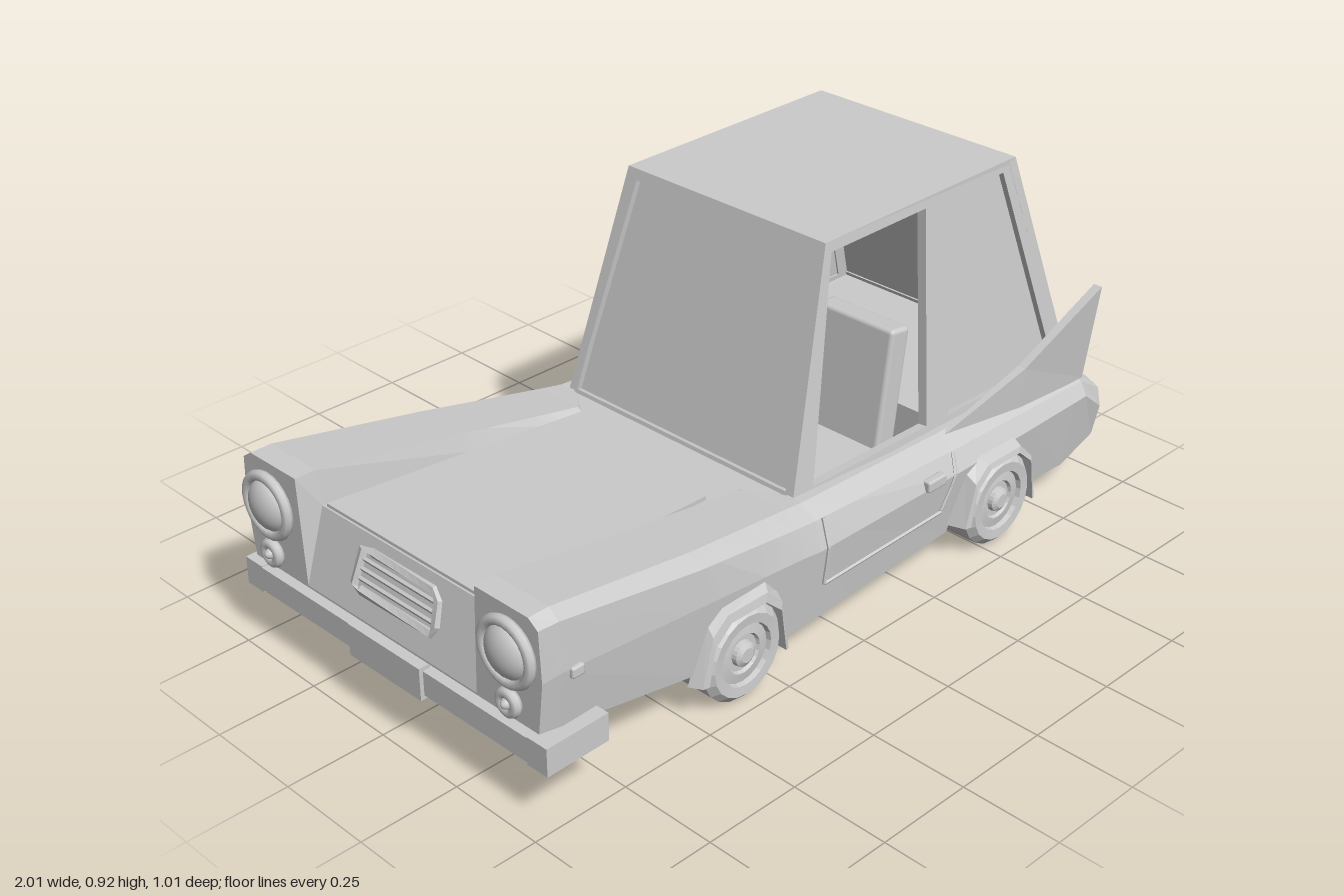
import * as THREE from 'three';
import { RoundedBoxGeometry } from 'three/addons/geometries/RoundedBoxGeometry.js';

const V = (x, y, z) => new THREE.Vector3(x, y, z);
const flat = new THREE.MeshStandardMaterial({ color: 0xcccccc, flatShading: true, side: THREE.DoubleSide });
const smooth = new THREE.MeshStandardMaterial({ color: 0xcccccc, side: THREE.DoubleSide });

// Body stations: x, sill z, crease y/z, shoulder y/z, top y/z, inner top z, deck y
const stations = [
  [-0.96, 0.455, 0.36, 0.489, 0.483, 0.483, 0.503, 0.455, 0.295, 0.235],
  [-0.905, 0.455, 0.36, 0.489, 0.48, 0.483, 0.503, 0.455, 0.293, 0.418],
  [-0.5, 0.45, 0.31, 0.474, 0.4, 0.468, 0.43, 0.435, 0.285, 0.387],
  [-0.16, 0.442, 0.27, 0.462, 0.34, 0.443, 0.37, 0.4, 0.27, 0.362],
  [-0.1, 0.44, 0.26, 0.46, 0.33, 0.438, 0.36, 0.395, 0.35, 0.358],
  [0.4, 0.43, 0.25, 0.455, 0.3, 0.43, 0.328, 0.38, 0.345, 0.325],
  [0.9, 0.43, 0.26, 0.457, 0.295, 0.437, 0.328, 0.38, 0.345, 0.328],
  [0.975, 0.425, 0.2, 0.45, 0.25, 0.44, 0.268, 0.4, 0.345, 0.268],
];
// Lower edge of the body, including both wheel openings
const sill = [[-0.96, 0.23], [-0.5, 0.125], [-0.465, 0.2], [-0.43, 0.24], [-0.29, 0.24], [-0.25, 0.19], [-0.235, 0.067], [-0.1, 0.067],
  [0.39, 0.077], [0.42, 0.17], [0.46, 0.232], [0.62, 0.232], [0.66, 0.17], [0.69, 0.08], [0.85, 0.07], [0.975, 0.112]];

function sample(table, x) {
  let i = 0;
  while (i < table.length - 2 && x > table[i + 1][0]) i++;
  const a = table[i], b = table[i + 1];
  const t = THREE.MathUtils.clamp((x - a[0]) / (b[0] - a[0]), 0, 1);
  return a.map((v, k) => v + (b[k] - v) * t);
}

// Half cross-section as [z, y], from sill to centre
function section(x, deck) {
  const [, zb, ym, zm, ys, zs, yt, zt, zi, yh] = sample(stations, x);
  const yb = sample(sill, x)[1];
  const t = Math.max(0, (yb - 0.08) / (ym - 0.08));
  const yd = deck ?? yh;
  return [[zb + (zm - zb) * t, yb], [zm, ym], [zs, ys], [zt, yt], [zi, yt], [zi - 0.012, yd], [0, yd]];
}

// Half-width of the body side at a point
function sideZ(x, y) {
  const [, zb, ym, zm, ys, zs] = sample(stations, x);
  if (y < ym) return zb + (zm - zb) * (y - 0.08) / (ym - 0.08);
  return zm + (zs - zm) * Math.min(1, (y - ym) / (ys - ym));
}

// Skin over rows of [x, y, z] points
function loft(rows) {
  const n = rows[0].length, idx = [];
  for (let i = 0; i < rows.length - 1; i++) for (let j = 0; j < n - 1; j++) {
    const a = i * n + j, b = a + n;
    idx.push(a, b, a + 1, b, b + 1, a + 1);
  }
  const g = new THREE.BufferGeometry();
  g.setAttribute('position', new THREE.Float32BufferAttribute(rows.flat(2), 3));
  g.setIndex(idx);
  g.computeVertexNormals();
  return g;
}

// Full cross-section from one sill to the other; the cabin has a toe board and a low floor
const mirrored = half => [...half, ...half.slice(0, -1).reverse().map(([z, y]) => [-z, y])];
function bodyGeometry() {
  const xs = [...new Set([...stations, ...sill].map(s => s[0]))];
  const cuts = xs.map(x => [x, x > -0.1 && x < 0.45 ? 0.11 : undefined]);
  cuts.push([-0.0999, 0.33], [0.03, 0.11], [0.45, 0.11], [0.4501, undefined]);
  cuts.sort((a, b) => a[0] - b[0]);
  return loft(cuts.map(([x, deck]) => mirrored(section(x, deck)).map(([z, y]) => [x, y, z])));
}

// Flat panel on four corners (bottom left, bottom right, top right, top left from outside).
// Outline and holes are given as fractions across and up the panel.
const FULL = [[0, 0], [1, 0], [1, 1], [0, 1]];
function panel([a, b, c, d], outline, holes, depth, offset = 0) {
  const u = b.clone().sub(a).normalize();
  const n = u.clone().cross(d.clone().sub(a)).normalize();
  const v = n.clone().cross(u);
  const to2 = ([s, t]) => {
    const p = a.clone().lerp(b, s).lerp(d.clone().lerp(c, s), t).sub(a);
    return new THREE.Vector2(p.dot(u), p.dot(v));
  };
  const shape = new THREE.Shape(outline.map(to2));
  for (const h of holes) shape.holes.push(new THREE.Path(h.map(to2)));
  const g = new THREE.ExtrudeGeometry(shape, { depth, bevelEnabled: false });
  g.translate(0, 0, offset - depth);
  return g.applyMatrix4(new THREE.Matrix4().makeBasis(u, v, n).setPosition(a));
}

export function createModel() {
  const model = new THREE.Group(), car = new THREE.Group();
  car.name = 'car';
  car.rotation.y = 0.014;
  car.position.z = -0.016;
  model.add(car);
  const add = (name, geo, mat = flat, parent = car) => {
    const m = new THREE.Mesh(geo, mat);
    m.name = name;
    parent.add(m);
    return m;
  };
  const box = (name, x0, x1, y0, y1, z0, z1, r = 0) => {
    const s = [x1 - x0, y1 - y0, z1 - z0];
    const m = add(name, r ? new RoundedBoxGeometry(...s, 2, r) : new THREE.BoxGeometry(...s), r ? smooth : flat);
    m.position.set((x0 + x1) / 2, (y0 + y1) / 2, (z0 + z1) / 2);
    return m;
  };
  const line = (name, pts, r, closed = false) => {
    const path = new THREE.CurvePath();
    pts.forEach((p, i) => { if (i || closed) path.add(new THREE.LineCurve3(pts[(i || pts.length) - 1], p)); });
    return add(name, new THREE.TubeGeometry(path, pts.length * 6, r, 5, closed));
  };

  // Body shell, end faces and floor
  add('body', bodyGeometry());
  for (const x of [-0.96, 0.975]) {
    const shape = new THREE.Shape(mirrored(section(x)).map(([z, y]) => new THREE.Vector2(z, y)));
    add(x < 0 ? 'frontFace' : 'rearFace', new THREE.ShapeGeometry(shape).rotateY(-Math.PI / 2).translate(x, 0, 0));
  }
  box('floor', 0.03, 0.7, 0.075, 0.1, -0.32, 0.32);
  for (const [x0, y0, x1, y1] of [[0.69, 0.08, 0.85, 0.07], [0.85, 0.07, 0.975, 0.112]])
    add('floorRear', panel([V(x0, y0, -0.427), V(x1, y1, -0.427), V(x1, y1, 0.427), V(x0, y0, 0.427)], FULL, [], 0.004));
  add('hoodPanel', panel([V(-0.9, 0.415, 0.272), V(-0.25, 0.369, 0.245), V(-0.25, 0.369, -0.245), V(-0.9, 0.415, -0.272)], FULL, [], 0.02, 0.01));

  // Cabin: windscreen, rear window, roof and sides
  const P = (x, y, z) => s => V(x, y, s * z);
  const fb = P(-0.1, 0.345, 0.37), rb = P(0.927, 0.325, 0.37), ft = P(0.06, 0.915, 0.308), rt = P(0.735, 0.915, 0.308);
  const pane = [[0.03, 0.035], [0.97, 0.035], [0.945, 0.955], [0.055, 0.955]];
  const ends = { windscreen: [fb(-1), fb(1), ft(1), ft(-1)], rearWindow: [rb(1), rb(-1), rt(-1), rt(1)] };
  for (const [name, quad] of Object.entries(ends)) {
    add(name + 'Frame', panel(quad, FULL, [pane], 0.025));
    add(name, panel(quad, pane, [], 0.006, -0.015));
  }
  add('roof', panel([ft(1), rt(1), rt(-1), ft(-1)], FULL, [], 0.022));
  const door = [[0.065, 0.03], [0.46, 0.03], [0.505, 0.955], [0.035, 0.955]];
  const quarter = [[0.54, 0.03], [0.945, 0.03], [0.92, 0.955], [0.635, 0.955]];
  for (const s of [1, -1]) {
    const quad = s > 0 ? [fb(1), rb(1), rt(1), ft(1)] : [rb(-1), fb(-1), ft(-1), rt(-1)];
    const side = pts => s > 0 ? pts : pts.map(([u, v]) => [1 - u, v]);
    add('cabinSide', panel(quad, FULL, [side(door), side(quarter)], 0.025));
    add('quarterWindow', panel(quad, side(quarter), [], 0.006, -0.015));
    // One door window is half raised
    if (s < 0) add('doorWindow', panel(quad, side([[0.065, 0.03], [0.46, 0.03], [0.48, 0.375], [0.1, 0.375]]), [], 0.006, -0.01));

    // Tail fin: base, tip heights and widths at three stations, closed at the rear
    const fin = [[0.41, 0.32, 0.405, 0.39, 0.38, 0.37], [0.67, 0.415, 0.42, 0.428, 0.406, 0.372], [0.91, 0.565, 0.432, 0.467, 0.443, 0.374]]
      .map(([x, y, z0, z1, z2, z3]) => [[x, 0.3, s * z0], [x, y, s * z1], [x, y, s * z2], [x, 0.3, s * z3]]);
    add('tailFin', loft([...fin, Array(4).fill([0.91, 0.4, s * 0.42])]));

    // Door seam follows the body side; handle and side marker
    const corners = [[-0.075, 0.33], [-0.08, 0.16], [0.345, 0.16], [0.37, 0.22], [0.395, 0.3]];
    const seam = corners.slice(1).flatMap(([x, y], i) => [0, 0.2, 0.4, 0.6, 0.8, 1].slice(i ? 1 : 0).map(t => {
      const px = corners[i][0] + (x - corners[i][0]) * t, py = corners[i][1] + (y - corners[i][1]) * t;
      return V(px, py, s * (sideZ(px, py) + 0.002));
    }));
    line('doorSeam', seam, 0.005);
    box('doorHandle', 0.27, 0.335, 0.25, 0.28, s * 0.455 - 0.012, s * 0.455 + 0.012, 0.006);
    box('sideMarker', -0.885, -0.85, 0.335, 0.362, s * 0.485 - 0.012, s * 0.485 + 0.012, 0.006);

    // Wheels and arch flares that swell out of the body side
    for (const [x, top] of [[-0.36, 0.278], [0.54, 0.262]]) {
      const outer = [[-0.155, 0.1], [-0.11, top - 0.03], [-0.07, top], [0.07, top], [0.115, top - 0.05], [0.145, 0.07]];
      const inner = [[-0.122, 0.1], [-0.105, 0.19], [-0.055, 0.234], [0.055, 0.234], [0.105, 0.19], [0.122, 0.075]];
      add('wheelArch', loft(outer.map(([ox, oy], i) => {
        const [ix, iy] = inner[i], z = sideZ(x + ox, oy) - 0.004;
        return [[x + ox, oy, s * z], [x + (ox + ix) / 2, (oy + iy) / 2, s * 0.48], [x + ix, iy, s * 0.484], [x + ix, iy, s * 0.42]];
      })));
      const wheel = new THREE.Group();
      wheel.name = 'wheel';
      wheel.position.set(x, 0.12, s * 0.408);
      wheel.rotation.x = s * Math.PI / 2;
      car.add(wheel);
      const lathe = pts => new THREE.LatheGeometry(pts.map(p => new THREE.Vector2(...p)), 20);
      add('tyre', lathe([[0, -0.068], [0.1, -0.072], [0.12, -0.054], [0.12, 0.054], [0.102, 0.072], [0.078, 0.07], [0.074, 0.056]]), flat, wheel);
      add('rim', lathe([[0.076, 0.058], [0.05, 0.062], [0.046, 0.054], [0.032, 0.054], [0.03, 0.066], [0.018, 0.073], [0, 0.073]]), flat, wheel);
    }

    // Headlights
    for (const [y, r, d] of [[0.398, 0.085, 0.04], [0.275, 0.036, 0.03]]) {
      const z = s * 0.395;
      const ring = add('headlightRing', new THREE.TorusGeometry(r - 0.013, 0.013, 8, 24), smooth);
      ring.position.set(-0.97, y, z);
      ring.rotation.y = Math.PI / 2;
      const lens = add('headlight', new THREE.SphereGeometry(r - 0.02, 20, 8, 0, Math.PI * 2, 0, Math.PI / 2), smooth);
      lens.scale.y = d / (r - 0.02);
      lens.rotation.z = Math.PI / 2;
      lens.position.set(-0.96, y, z);
    }
    // Bumper corners, tail lights and seats
    box('bumperCorner', -0.97, -0.8, 0.145, 0.215, s * 0.475 - 0.03, s * 0.475 + 0.03);
    box('tailLight', 0.955, 0.995, 0.14, 0.207, s * 0.323 - 0.068, s * 0.323 + 0.068, 0.012);
    box('seatCushion', 0.06, 0.34, 0.11, 0.29, s * 0.17 - 0.13, s * 0.17 + 0.13, 0.012);
    box('seatBack', 0.305, 0.37, 0.26, 0.59, s * 0.17 - 0.12, s * 0.17 + 0.12, 0.012).rotation.z = -0.14;
  }

  // Front bumper, and a grille on the sloping nose
  box('frontBumper', -0.97, -0.9, 0.15, 0.212, -0.5, 0.5);
  box('bumperCentre', -0.98, -0.95, 0.14, 0.222, -0.12, 0.12);
  const nose = (y, z) => V(-0.905 - (0.418 - y) * 0.3, y, z);
  line('grilleFrame', [nose(0.295, -0.135), nose(0.295, 0.135), nose(0.385, 0.125), nose(0.385, -0.125)], 0.012, true);
  for (const y of [0.318, 0.34, 0.362]) line('grilleSlat', [nose(y, -0.128), nose(y, 0.128)], 0.006);

  // Rear plate recess outline and exhaust
  line('plateOutline', [V(0.976, 0.115, -0.21), V(0.976, 0.2, -0.21), V(0.976, 0.212, -0.195), V(0.976, 0.212, 0.195), V(0.976, 0.2, 0.21), V(0.976, 0.115, 0.21)], 0.004);
  const pipe = new THREE.CatmullRomCurve3([V(0.7, 0.085, -0.27), V(0.84, 0.074, -0.27), V(0.92, 0.08, -0.27), V(0.992, 0.092, -0.27)]);
  add('exhaustPipe', new THREE.TubeGeometry(pipe, 12, 0.018, 10), smooth);

  // Dashboard and steering wheel
  box('dashboard', -0.09, -0.03, 0.24, 0.34, -0.33, 0.33);
  const steering = new THREE.Group();
  steering.name = 'steeringWheel';
  steering.position.set(0.02, 0.415, 0.18);
  steering.rotation.set(0, Math.PI / 2, -0.1, 'ZYX');
  car.add(steering);
  add('steeringRim', new THREE.TorusGeometry(0.083, 0.008, 8, 24), smooth, steering);
  for (let i = 0; i < 3; i++) add('spoke', new THREE.BoxGeometry(0.012, 0.08, 0.008).translate(0, 0.04, 0).rotateZ(Math.PI / 3 + i * Math.PI * 2 / 3), flat, steering);
  add('steeringColumn', new THREE.CylinderGeometry(0.012, 0.012, 0.08, 10).rotateX(Math.PI / 2).rotateX(-0.6).translate(0, -0.022, -0.033), smooth, steering);
  return model;
}
